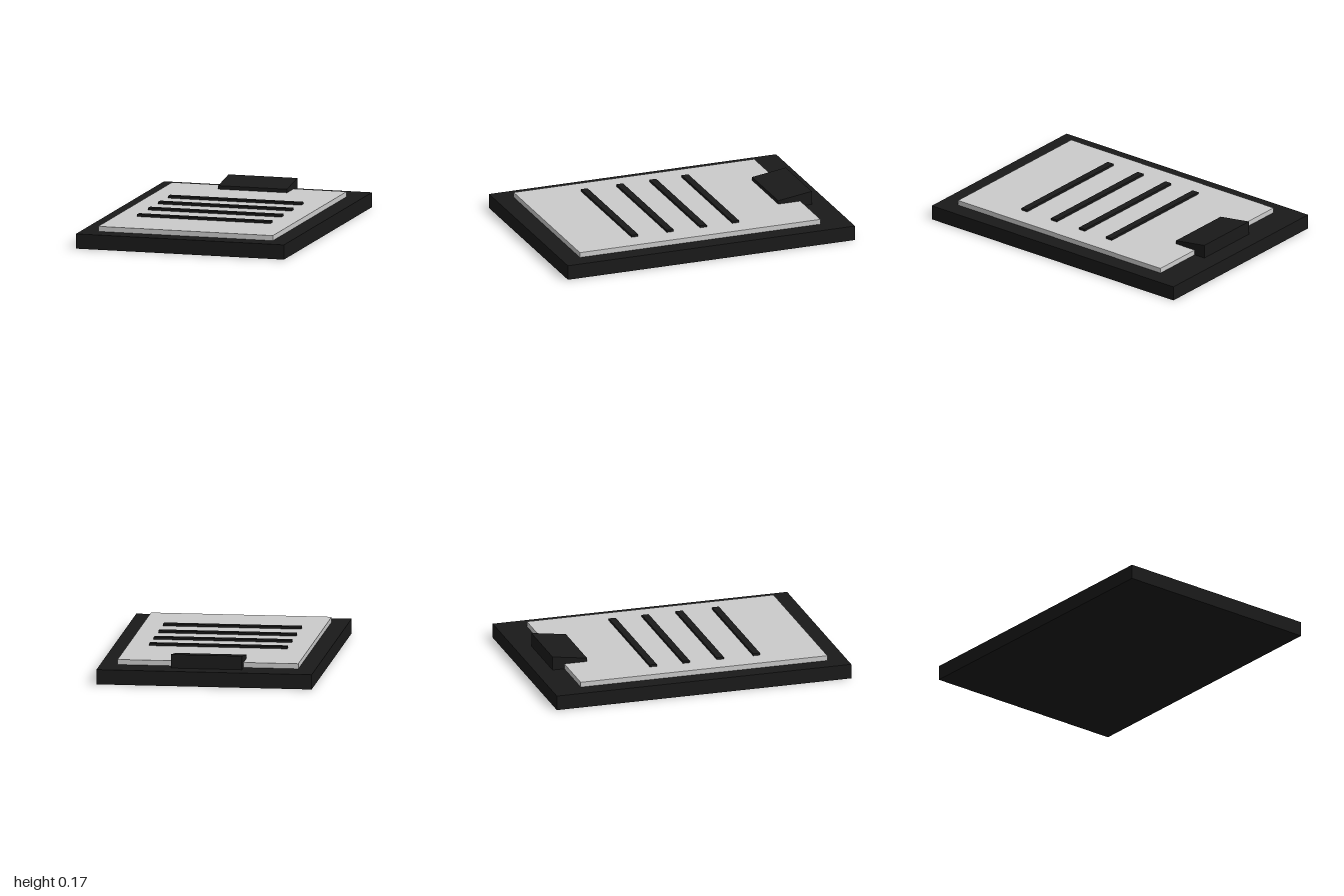
import * as THREE from 'three';

const black = new THREE.MeshStandardMaterial({ color: 0x1a1a1a, flatShading: true });
const grey = new THREE.MeshStandardMaterial({ color: 0xcccccc, flatShading: true });

// Box given by its bottom and top heights and its centre along the board
function slab(name, width, depth, bottom, top, z, material) {
  const geometry = new THREE.BoxGeometry(width, top - bottom, depth);
  geometry.translate(0, (bottom + top) / 2, z);
  const mesh = new THREE.Mesh(geometry, material);
  mesh.name = name;
  return mesh;
}

export function createModel() {
  const clipboard = new THREE.Group();
  clipboard.name = 'clipboard';
  clipboard.rotation.y = -0.191; // lies slightly turned

  clipboard.add(slab('board', 1.263, 1.793, 0, 0.087, 0, black));
  clipboard.add(slab('paper', 1.06, 1.502, 0.087, 0.117, 0.031, grey));

  // Lines of writing
  [-0.239, -0.038, 0.169, 0.39].forEach((z, i) => {
    clipboard.add(slab(`textLine${i + 1}`, 0.81, 0.042, 0.117, 0.13, z, black));
  });

  // Clip: a block whose top slopes down towards the front
  const clip = slab('clip', 0.418, 0.21, 0.087, 0.168, -0.687, black);
  const p = clip.geometry.attributes.position;
  for (let i = 0; i < p.count; i++) {
    if (p.getY(i) > 0.15 && p.getZ(i) > -0.687) p.setY(i, 0.138);
  }
  clip.geometry.computeVertexNormals();
  clipboard.add(clip);

  const model = new THREE.Group();
  model.name = 'model';
  model.add(clipboard);
  return model;
}
